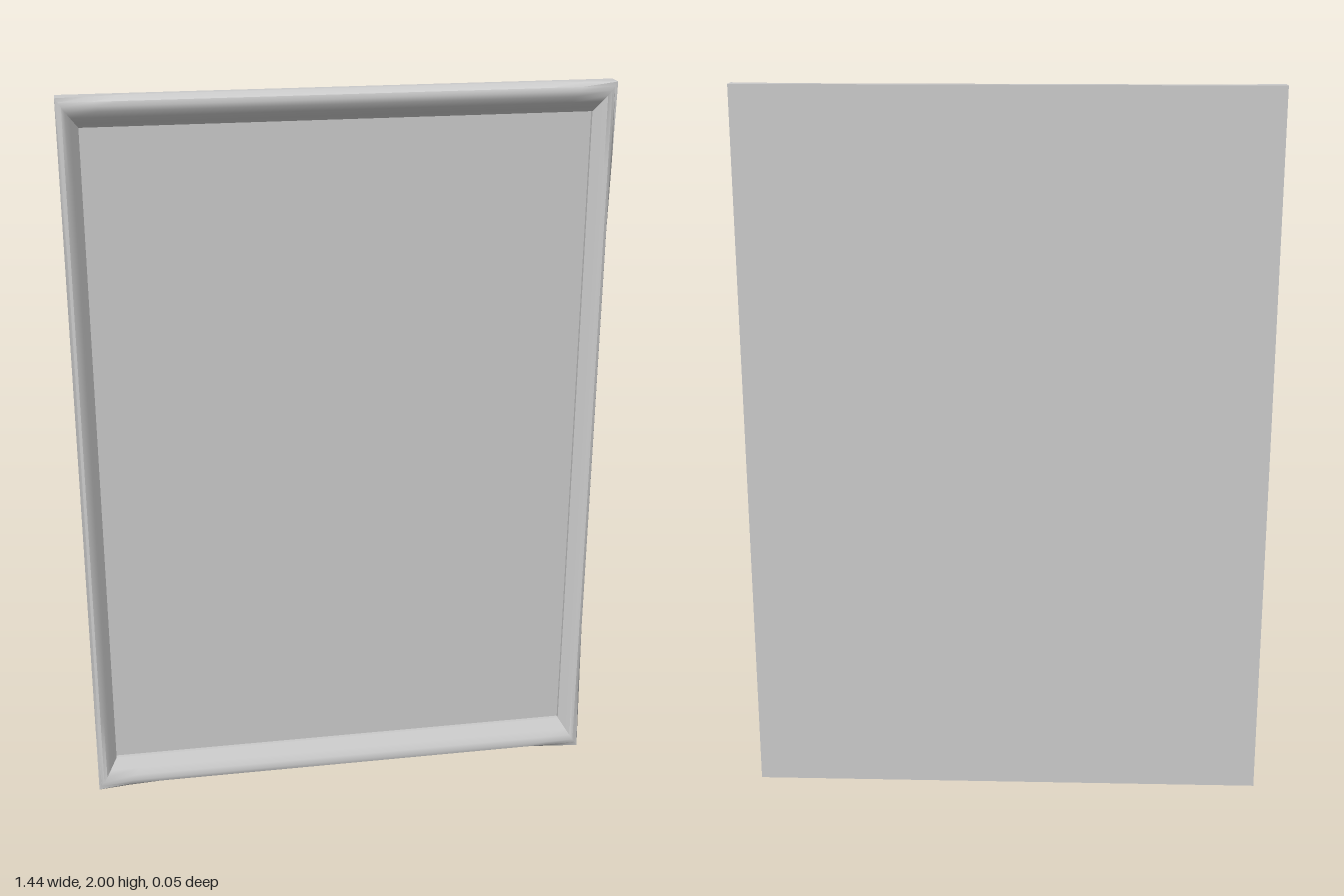
import * as THREE from 'three';
import { toCreasedNormals } from 'three/addons/utils/BufferGeometryUtils.js';

// Outer and inner corners, counter-clockwise seen from the front
const OUTER = [[-0.72, 0], [0.72, 0], [0.72, 2], [-0.72, 2]];
const INNER = [[-0.665, 0.085], [0.665, 0.085], [0.665, 1.92], [-0.665, 1.92]];
const BACK = -0.025, PANEL = -0.019;

// Moulding section: [fraction from outer to inner edge, depth]
const SECTION = [[0, PANEL], [0, 0.021], [0.14, 0.022], [0.28, 0.025], [0.45, 0.021],
  [0.65, 0.011], [0.85, 0.0], [1, -0.008], [1, PANEL]];

// Stations along all four sides; dip is 0 at a corner and 1 in the middle
function stations() {
  const list = [];
  for (let s = 0; s < 4; s++) {
    const e = (s + 1) % 4;
    const reach = s % 2 ? 0.2 : 0.12;
    for (const u of [0, reach / 2, reach, 0.5, 1 - reach, 1 - reach / 2]) {
      const mix = (c) => [0, 1].map((k) => c[s][k] + (c[e][k] - c[s][k]) * u);
      list.push({ o: mix(OUTER), i: mix(INNER), dip: Math.min(1, Math.min(u, 1 - u) / reach) });
    }
  }
  return list;
}

function mouldingGeometry() {
  const ring = stations(), n = ring.length;
  const pos = [], idx = [];
  SECTION.forEach(([f, z], row) => {
    for (const { o, i, dip } of ring) {
      // the outer front edge falls away between the corners
      const depth = row === 1 ? z - 0.021 * dip : z;
      pos.push(o[0] + (i[0] - o[0]) * f, o[1] + (i[1] - o[1]) * f, depth);
    }
    if (row === SECTION.length - 1) return;
    for (let k = 0; k < n; k++) {
      const a = row * n + k, b = row * n + (k + 1) % n;
      idx.push(a, b, b + n, a, b + n, a + n);
    }
  });
  const g = new THREE.BufferGeometry();
  g.setAttribute('position', new THREE.Float32BufferAttribute(pos, 3));
  g.setIndex(idx);
  return toCreasedNormals(g, 0.7);
}

export function createModel() {
  const group = new THREE.Group();
  group.name = 'pictureFrame';
  const material = new THREE.MeshStandardMaterial({ color: 0xcccccc });

  // Rounded border with raised corners
  const moulding = new THREE.Mesh(mouldingGeometry(), material);
  moulding.name = 'moulding';
  group.add(moulding);

  // Flat board: closes the back and shows as the recessed picture surface
  const board = new THREE.Mesh(new THREE.BoxGeometry(1.44, 2, PANEL - BACK), material);
  board.name = 'picturePanel';
  board.position.set(0, 1, (PANEL + BACK) / 2);
  group.add(board);

  return group;
}
